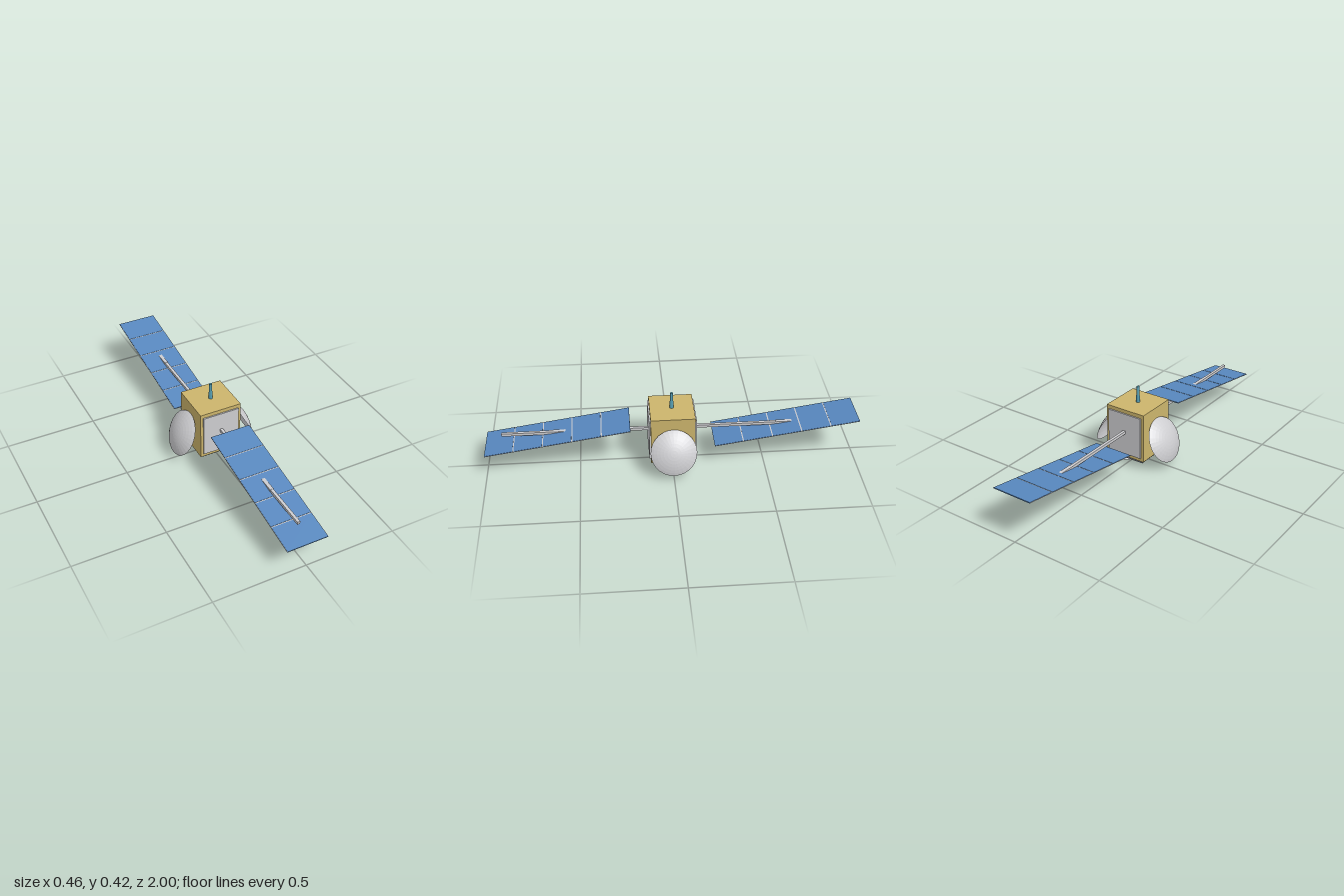
import * as THREE from 'three';

const mat = (name, color, extra = {}) =>
  Object.assign(new THREE.MeshStandardMaterial({ color, ...extra }), { name });

export function createModel() {
  const gold = mat('gold foil', 0xccb56c);
  const grey = mat('light grey', 0xcdcdd0, { side: THREE.DoubleSide, flatShading: true });
  const dark = mat('dark grey', 0x6a707a);
  const blue = mat('solar blue', 0x5888bf);
  const teal = mat('teal', 0x57a0b4, { flatShading: true });
  const lensBlue = mat('sensor blue', 0x3c6a8e, { flatShading: true });

  const model = new THREE.Group();
  model.name = 'satellite';

  const add = (parent, name, geometry, material, x = 0, y = 0, z = 0) => {
    const mesh = new THREE.Mesh(geometry, material);
    mesh.name = name;
    mesh.position.set(x, y, z);
    parent.add(mesh);
    return mesh;
  };
  const box = (parent, name, material, w, h, d, x, y, z) =>
    add(parent, name, new THREE.BoxGeometry(w, h, d), material, x, y, z);

  // Shallow spherical bowl: rim at y = 0, apex at y = depth
  const bowl = (radius, depth, sides) => {
    const R = (radius * radius + depth * depth) / (2 * depth);
    const half = Math.asin(radius / R);
    const pts = [];
    for (let i = 0; i <= 7; i++) {
      const a = half * (1 - i / 7);
      pts.push(new THREE.Vector2(R * Math.sin(a), R * Math.cos(a) - R + depth));
    }
    return new THREE.LatheGeometry(pts, sides);
  };

  // Body with a plate on the front and back
  box(model, 'body', gold, 0.236, 0.278, 0.236, 0, 0.189, 0);
  for (const s of [1, -1]) {
    box(model, s > 0 ? 'frontPlate' : 'backPlate', grey, 0.206, 0.237, 0.008, 0, 0.1885, s * 0.122);
  }

  // Instrument deck underneath
  box(model, 'instrumentDeck', dark, 0.184, 0.028, 0.18, 0, 0.036, 0);
  add(model, 'sensor', new THREE.CylinderGeometry(0.04, 0.04, 0.012, 12), lensBlue, -0.043, 0.017, 0.033);
  add(model, 'smallDish', bowl(0.05, 0.015, 20), grey, 0.05, 0, -0.034);
  add(model, 'smallDishStem', new THREE.CylinderGeometry(0.006, 0.006, 0.01, 8), grey, 0.05, 0.018, -0.034);

  // Tapered mast on top
  add(model, 'mast', new THREE.CylinderGeometry(0.007, 0.011, 0.092, 12), teal, 0, 0.374, 0);

  // Mirrored side dishes, opening inward and down
  for (const s of [1, -1]) {
    const side = s > 0 ? 'left' : 'right';
    const dish = add(model, side + 'Dish', bowl(0.1236, 0.037, 28), grey, s * 0.1725, 0.154, 0);
    dish.rotation.z = -s * 1.114;
    box(model, side + 'DishArm', grey, 0.08, 0.013, 0.013, s * 0.152, 0.183, 0);
  }

  // Solar wings, both tilted the same way about x
  const length = 0.784, cells = 5, gap = 0.006;
  const cellLength = (length - gap * (cells - 1)) / cells;
  for (const s of [1, -1]) {
    const end = s > 0 ? 'front' : 'back';
    box(model, end + 'Boom', grey, 0.016, 0.016, 0.794, 0, 0.2, s * 0.513);
    box(model, end + 'BoomBracket', grey, 0.02, 0.018, 0.09, 0, 0.2, s * 0.613);

    const wing = new THREE.Group();
    wing.name = end + 'SolarWing';
    wing.position.set(0, 0.2, s * 0.612);
    wing.rotation.x = 0.1537;
    model.add(wing);
    box(wing, 'wingBacking', grey, 0.226, 0.002, length, 0, 0, 0);
    for (let i = 0; i < cells; i++) {
      const z = (i - (cells - 1) / 2) * (cellLength + gap);
      box(wing, 'solarCell', blue, 0.222, 0.005, cellLength, 0, 0, z);
    }
  }
  return model;
}
